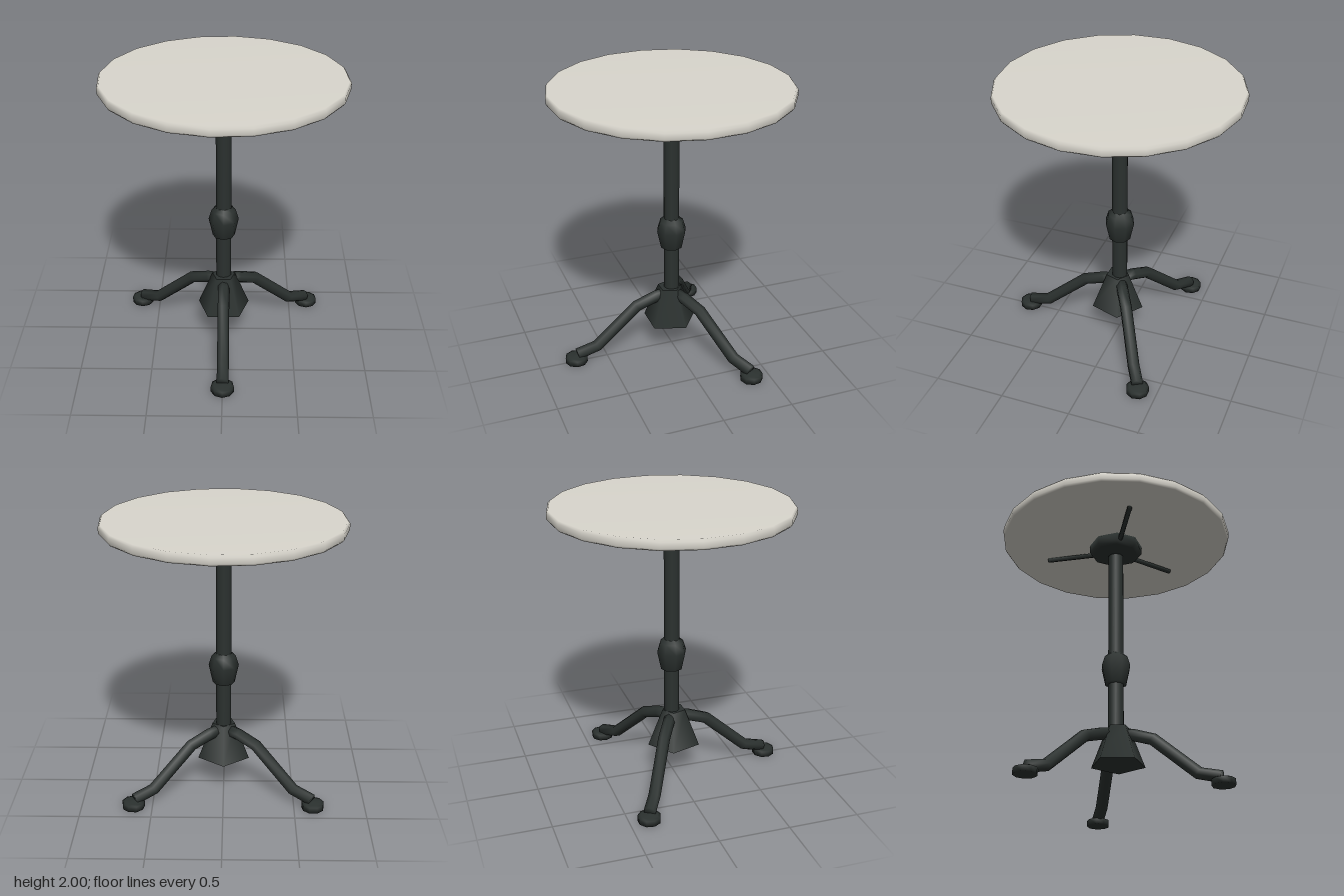
import * as THREE from 'three';

const iron = new THREE.MeshStandardMaterial({ color: 0x2b312f });
const pale = new THREE.MeshStandardMaterial({ color: 0xd9d6cd });

function part(name, geometry, material = iron) {
  const mesh = new THREE.Mesh(geometry, material);
  mesh.name = name;
  return mesh;
}

function lathe(points, sides, turn = 0) {
  return new THREE.LatheGeometry(points.map(([r, y]) => new THREE.Vector2(r, y)), sides, turn);
}

// Capped bar swept along a bent path of [distance out, height] in the z-y plane
function bentBar(path, radius, sides) {
  const pts = path.map(([z, y]) => new THREE.Vector3(0, y, z));
  const pos = [], index = [];
  pts.forEach((p, i) => {
    const before = pts[Math.max(i - 1, 0)], after = pts[Math.min(i + 1, pts.length - 1)];
    const t = after.clone().sub(before).normalize();
    for (let s = 0; s < sides; s++) {
      const a = (s / sides) * Math.PI * 2;
      const up = Math.sin(a) * radius;
      pos.push(Math.cos(a) * radius, p.y + t.z * up, p.z - t.y * up);
    }
  });
  for (let i = 0; i < pts.length - 1; i++) {
    for (let s = 0; s < sides; s++) {
      const n = (s + 1) % sides;
      const a = i * sides + s, b = i * sides + n, c = a + sides, d = b + sides;
      index.push(a, b, c, b, d, c);
    }
  }
  const last = (pts.length - 1) * sides;
  for (let s = 1; s < sides - 1; s++) {
    index.push(0, s + 1, s, last, last + s, last + s + 1);
  }
  const g = new THREE.BufferGeometry();
  g.setAttribute('position', new THREE.Float32BufferAttribute(pos, 3));
  g.setIndex(index);
  g.computeVertexNormals();
  return g;
}

export function createModel() {
  const model = new THREE.Group();
  model.name = 'pedestalTable';

  // Round top with a softened rim
  const top = lathe([[0, 1.93], [0.82, 1.93], [0.832, 1.945], [0.832, 1.985], [0.82, 2], [0, 2]],
    20, THREE.MathUtils.degToRad(13));
  model.add(part('tableTop', top, pale));

  // Hub under the top
  model.add(part('hub', lathe(
    [[0, 1.848], [0.16, 1.848], [0.19, 1.865], [0.19, 1.925], [0, 1.925]], 8, Math.PI / 8)));

  // Column and its collar
  const column = new THREE.CylinderGeometry(0.056, 0.056, 1.43, 10);
  column.translate(0, 1.115, 0);
  model.add(part('column', column));
  model.add(part('collar', lathe(
    [[0.05, 0.8], [0.078, 0.81], [0.106, 0.94], [0.085, 1.01], [0.05, 1.04]], 8)));

  // Five-sided flared base
  const flare = new THREE.CylinderGeometry(0.085, 0.193, 0.265, 5, 1, false, Math.PI / 5);
  flare.translate(0, 0.3525, 0.015);
  model.add(part('flaredBase', flare));

  // Three legs with feet, and three support arms set between them
  const legShape = bentBar([[0.06, 0.43], [0.12, 0.42], [0.265, 0.37], [0.57, 0.1], [0.72, 0.06]], 0.043, 7);
  const footShape = lathe([[0, 0], [0.08, 0], [0.08, 0.042], [0.06, 0.05], [0, 0.055]], 9);
  const armShape = bentBar([[0.12, 1.878], [0.54, 1.912]], 0.018, 5);
  for (let i = 0; i < 3; i++) {
    const leg = new THREE.Group();
    leg.name = 'leg' + (i + 1);
    leg.add(part('legBar', legShape));
    const foot = part('foot', footShape);
    foot.position.z = 0.73;
    leg.add(foot);
    leg.rotation.y = (i * Math.PI * 2) / 3;
    model.add(leg);

    const arm = part('supportArm' + (i + 1), armShape);
    arm.rotation.y = leg.rotation.y + Math.PI;
    model.add(arm);
  }
  return model;
}
